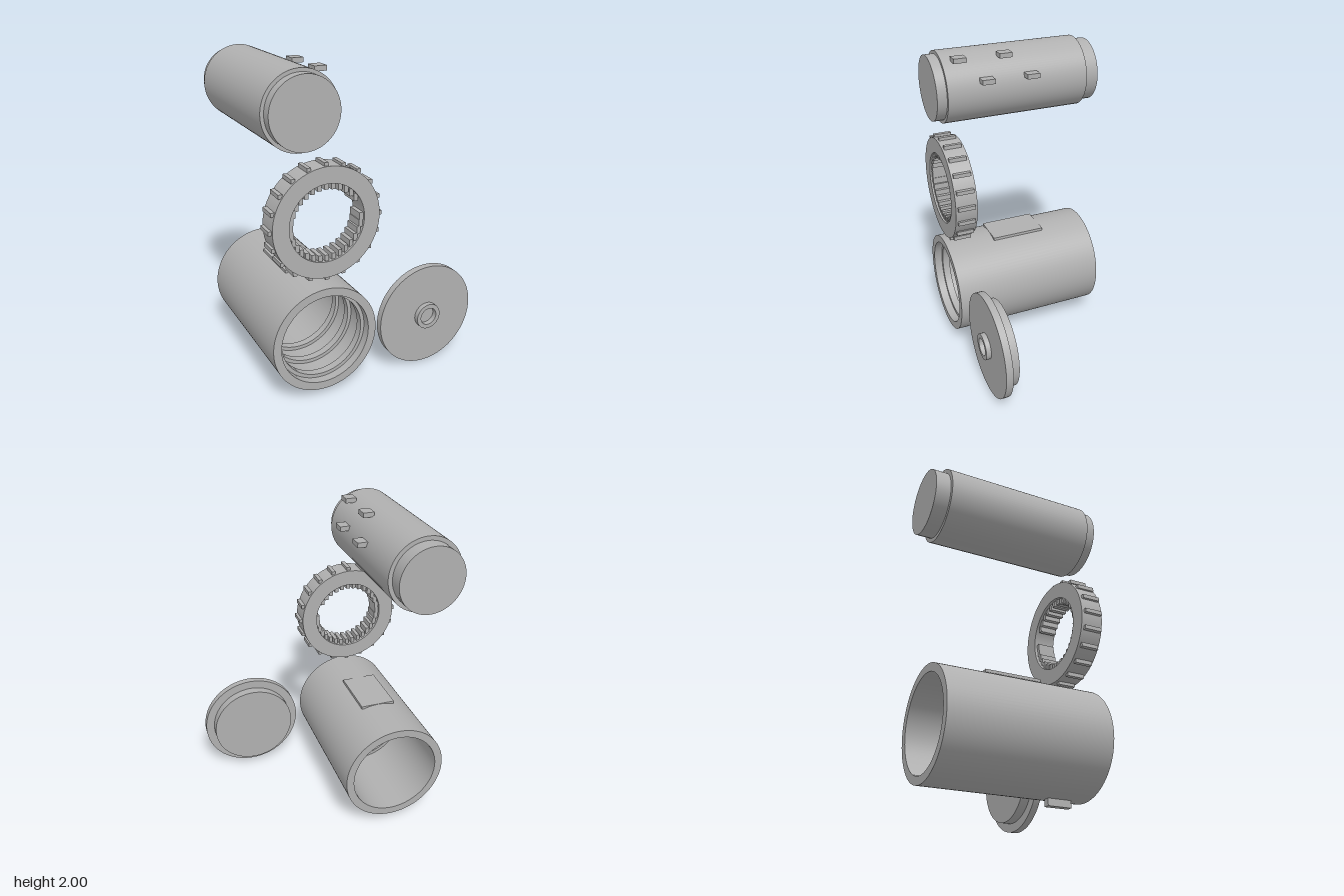
import * as THREE from 'three';
import { toCreasedNormals } from 'three/addons/utils/BufferGeometryUtils.js';

export function createModel() {
  const model = new THREE.Group();
  const grey = new THREE.MeshStandardMaterial({ color: 0xb0b0b0 });
  grey.name = 'plain grey';

  const group = (name) => {
    const g = new THREE.Group();
    g.name = name;
    model.add(g);
    return g;
  };

  // Solid turned about an axis along z; profile is [radius, z], outside running back to front
  const turned = (parent, name, x, y, profile) => {
    const lathe = new THREE.LatheGeometry(profile.map(([r, z]) => new THREE.Vector2(r, z)), 96);
    lathe.rotateX(Math.PI / 2);
    const mesh = new THREE.Mesh(toCreasedNormals(lathe, Math.PI / 6), grey);
    mesh.position.set(x, y, 0);
    mesh.name = name;
    parent.add(mesh);
  };

  // Box given by its limits on each axis
  const block = (parent, name, x0, x1, y0, y1, z0, z1) => {
    const mesh = new THREE.Mesh(new THREE.BoxGeometry(x1 - x0, y1 - y0, z1 - z0), grey);
    mesh.position.set((x0 + x1) / 2, (y0 + y1) / 2, (z0 + z1) / 2);
    mesh.name = name;
    parent.add(mesh);
  };

  // Inner drum with stepped ends and four staggered pegs
  const drum = group('drum');
  turned(drum, 'drumBody', -0.48, 1.77, [
    [0, -0.548], [0.204, -0.548], [0.204, -0.455], [0.23, -0.455],
    [0.23, 0.487], [0.209, 0.487], [0.209, 0.55], [0, 0.55],
  ]);
  for (const z of [0.385, 0.087])
    block(drum, 'upperPeg', -0.367, -0.295, 1.96, 1.99, z - 0.042, z + 0.042);
  for (const z of [0.236, -0.06])
    block(drum, 'lowerPeg', -0.268, -0.205, 1.834, 1.865, z - 0.042, z + 0.042);

  // Toothed ring; all teeth stay square to the axes
  const ring = group('toothedRing');
  const rx = -0.355, ry = 1.13;
  turned(ring, 'ringBody', rx, ry, [
    [0.235, 0.408], [0.335, 0.408], [0.335, 0.55], [0.235, 0.55], [0.235, 0.408],
  ]);
  const teeth = (name, count, radius, w, h, skip = []) => {
    for (let i = 0; i < count; i++) {
      if (skip.includes(i)) continue;
      const a = (i / count) * Math.PI * 2;
      const x = rx + radius * Math.cos(a), y = ry + radius * Math.sin(a);
      block(ring, name, x - w / 2, x + w / 2, y - h / 2, y + h / 2, 0.425, 0.538);
    }
  };
  teeth('outerTooth', 20, 0.342, 0.025, 0.025);
  teeth('innerTooth', 32, 0.221, 0.025, 0.045, [1, 2]);

  // Open barrel with ridges inside the bore
  const barrel = group('barrel');
  const bore = 0.288, ridge = 0.265;
  const ridges = [0.47, 0.3, 0.13].flatMap((z) => [
    [bore, z + 0.025], [ridge, z + 0.025], [ridge, z - 0.025], [bore, z - 0.025],
  ]);
  turned(barrel, 'barrelBody', -0.37, 0.382, [
    [bore, -0.468], [0.339, -0.468], [0.339, 0.55], [bore, 0.55], ...ridges, [bore, -0.468],
  ]);
  block(barrel, 'topPlate', -0.485, -0.255, 0.705, 0.724, -0.14, 0.222);
  block(barrel, 'bottomTab', -0.39, -0.35, 0, 0.06, 0.292, 0.445);

  // Lid with a plug behind and a hollow boss in front
  const lid = group('lid');
  turned(lid, 'lidBody', 0.365, 0.345, [
    [0, 0.41], [0.282, 0.41], [0.282, 0.472], [0.339, 0.472], [0.339, 0.518],
    [0.085, 0.518], [0.085, 0.55], [0.057, 0.55], [0.057, 0.515], [0, 0.515],
  ]);

  return model;
}
